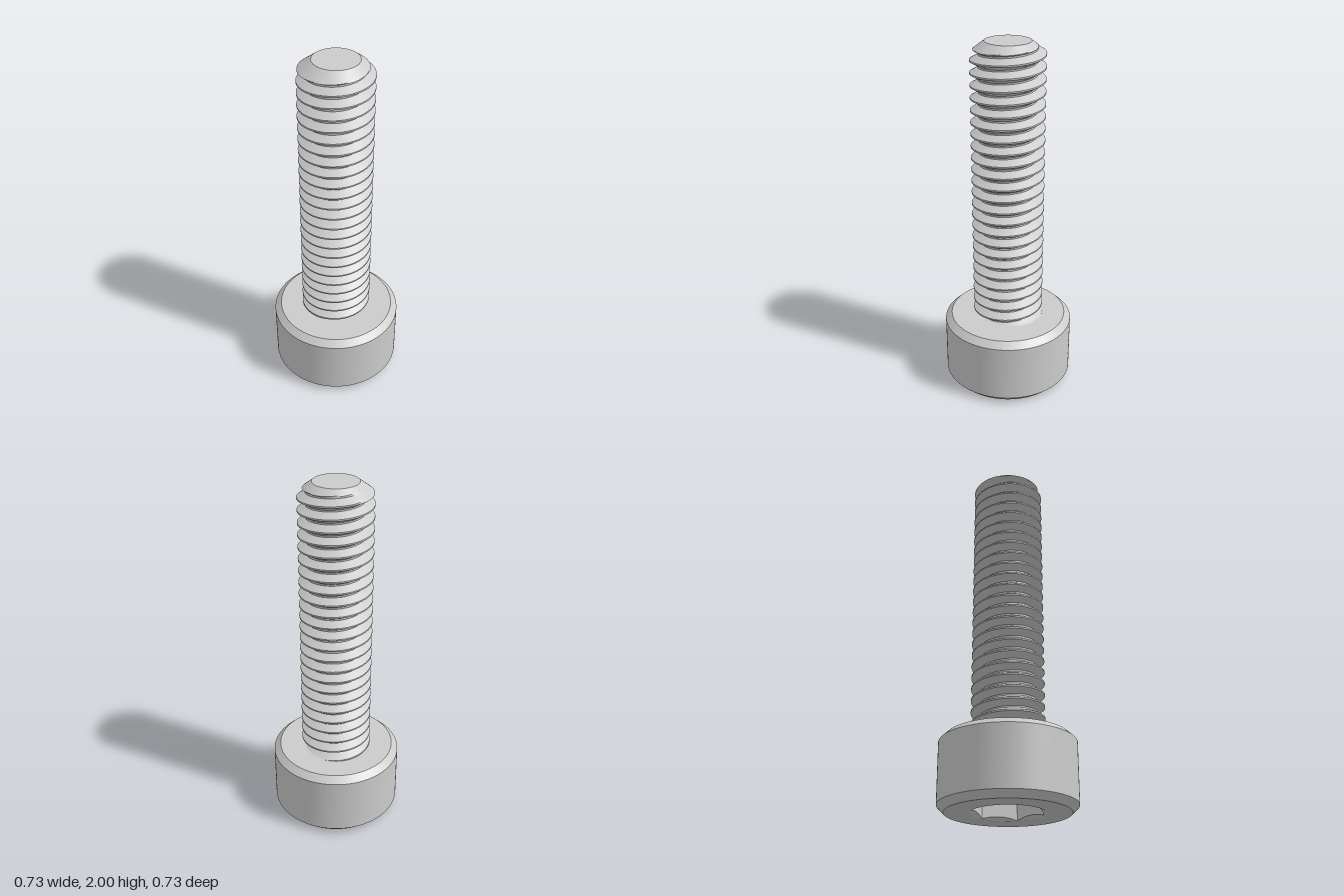
import * as THREE from 'three';
import { toCreasedNormals } from 'three/addons/utils/BufferGeometryUtils.js';

const SEGMENTS = 96;
const material = new THREE.MeshStandardMaterial({ color: 0xcccccc });

// Sweeps a profile around the y axis; profileAt(angle) returns [radius, y] pairs.
function sweep(name, profileAt) {
  const columns = [];
  for (let i = 0; i <= SEGMENTS; i++) {
    const angle = (i / SEGMENTS) * Math.PI * 2;
    columns.push(profileAt(angle).map(([r, y]) =>
      new THREE.Vector3(r * Math.sin(angle), y, r * Math.cos(angle))));
  }
  const positions = [];
  const addTriangle = (a, b, c) => {
    const area = b.clone().sub(a).cross(c.clone().sub(a)).length();
    if (area > 1e-9) for (const p of [a, b, c]) positions.push(p.x, p.y, p.z);
  };
  for (let i = 0; i < SEGMENTS; i++) {
    const left = columns[i], right = columns[i + 1];
    for (let j = 0; j < left.length - 1; j++) {
      addTriangle(left[j], right[j], right[j + 1]);
      addTriangle(left[j], right[j + 1], left[j + 1]);
    }
  }
  let geometry = new THREE.BufferGeometry();
  geometry.setAttribute('position', new THREE.Float32BufferAttribute(positions, 3));
  // Enlarged while creasing, so that close vertices are told apart
  geometry.scale(1000, 1000, 1000);
  geometry = toCreasedNormals(geometry, 0.5);
  geometry.scale(0.001, 0.001, 0.001);
  const mesh = new THREE.Mesh(geometry, material);
  mesh.name = name;
  return mesh;
}

// Threaded shank: a helical 60 degree profile, cut by a cone at the tip
function createShank() {
  const bottom = 0.4, top = 2, pitch = 1.6 / 24;
  const major = 0.2, minor = 0.157, tipRadius = 0.123, tipSlope = 0.75;
  const crestHalf = pitch / 16;
  const flank = (major - minor) * Math.tan(Math.PI / 6);
  const steps = 6;

  // One pitch, from the lower root edge over the crest
  const turn = [];
  for (let s = 0; s <= steps; s++) {
    const t = s / steps;
    turn.push([minor + (major - minor) * t, -crestHalf - flank * (1 - t)]);
  }
  for (let s = 0; s <= steps; s++) {
    const t = s / steps;
    turn.push([major - (major - minor) * t, crestHalf + flank * t]);
  }

  return sweep('threadedShank', (angle) => {
    const crest = top - 1.5 * pitch + (pitch * angle) / (2 * Math.PI);
    const profile = [];
    for (let k = -25; k <= 3; k++) {
      for (const [r, dy] of turn) {
        const y = THREE.MathUtils.clamp(crest + k * pitch + dy, bottom, top);
        profile.push([Math.min(r, tipRadius + (top - y) / tipSlope), y]);
      }
    }
    profile.push([0, top]);
    return profile;
  });
}

export function createModel() {
  const group = new THREE.Group();
  group.name = 'socketHeadScrew';

  // Hexagonal socket with a conical lead-in, open at the bottom
  const rim = 0.197, apothem = 0.1667, depth = 0.175;
  group.add(sweep('hexSocket', (angle) => {
    // Corners point along x
    const sector = Math.PI / 3;
    const offset = (angle % sector) - 0;
    const fromFlat = offset > sector / 2 ? offset - sector : offset;
    const r = apothem / Math.cos(fromFlat);
    return [[0, depth], [r, depth], [r, (rim - r) * 0.6], [rim, 0]];
  }));

  // Cylindrical head, chamfered on both edges
  const head = [[rim, 0], [0.33, 0], [0.367, 0.037], [0.367, 0.365], [0.33, 0.4], [0, 0.4]];
  group.add(sweep('head', () => head));

  group.add(createShank());
  return group;
}
